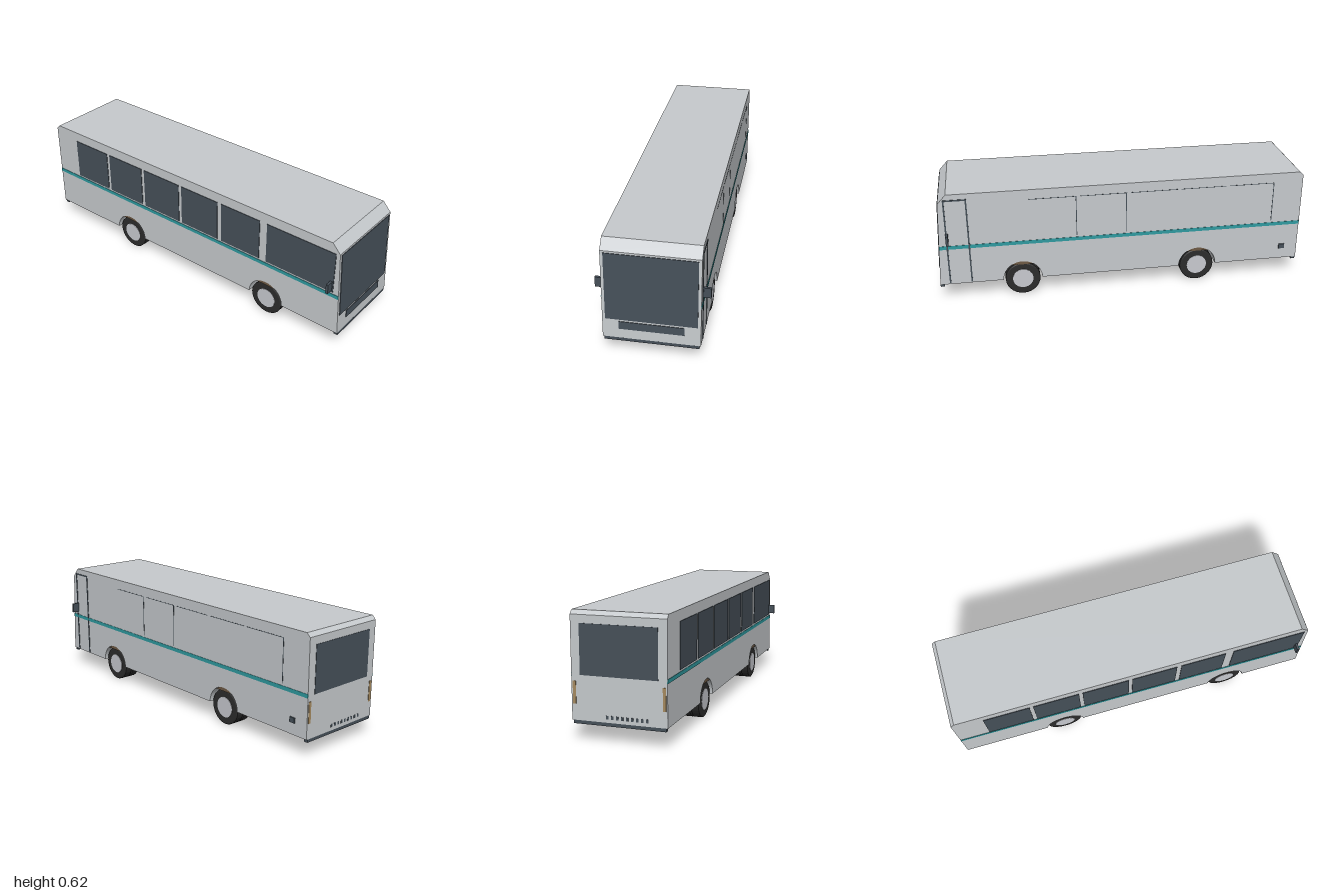
import * as THREE from 'three';

const mat = (name, color) => {
  const m = new THREE.MeshStandardMaterial({ color });
  m.name = name;
  return m;
};

export function createModel() {
  const paint = mat('body grey', 0xc6cacd);
  const glass = mat('dark glass', 0x465059);
  const teal = mat('teal stripe', 0x2f9aa0);
  const rubber = mat('tyre black', 0x2c2c2c);
  const steel = mat('hub grey', 0xc8cad0);
  const brown = mat('chassis brown', 0x6e5a45);
  const amber = mat('lamp tan', 0xa58a60);

  const bus = new THREE.Group();
  bus.name = 'bus';

  const add = (name, geometry, material, x = 0, y = 0, z = 0, parent = bus) => {
    const mesh = new THREE.Mesh(geometry, material);
    mesh.name = name;
    mesh.position.set(x, y, z);
    parent.add(mesh);
    return mesh;
  };
  // Box given by its minimum and maximum on each axis
  const box = (name, material, x0, x1, y0, y1, z0, z1) =>
    add(name, new THREE.BoxGeometry(x1 - x0, y1 - y0, z1 - z0), material,
      (x0 + x1) / 2, (y0 + y1) / 2, (z0 + z1) / 2);
  // Side profile pulled across the width
  const pull = (shape, half) =>
    new THREE.ExtrudeGeometry(shape, { depth: 2 * half, bevelEnabled: false, curveSegments: 24 })
      .translate(0, 0, -half);

  const W = 0.24, floor = 0.1, archR = 0.105;
  const axles = [-0.42, 0.555];

  // Body shell with wheel arches cut through it
  const side = new THREE.Shape();
  side.moveTo(-1, floor);
  for (const x of axles) {
    side.lineTo(x - archR, floor);
    side.absarc(x, floor, archR, Math.PI, 0, true);
  }
  side.lineTo(1, floor);
  side.lineTo(0.975, 0.575);
  side.lineTo(0.93, 0.625);
  side.lineTo(-0.98, 0.625);
  side.lineTo(-1, 0.605);
  side.closePath();
  add('body', pull(side, W), paint);

  // Side windows
  const panes = [[-0.835, -0.585], [-0.565, -0.315], [-0.295, -0.04], [-0.02, 0.23], [0.255, 0.505], [0.55, 0.955]];
  for (const [a, b] of panes) box('sideWindow', glass, a, b, 0.34, 0.57, W - 0.002, W + 0.003);

  // Thin panel seams on the door side
  for (const x of [0.255, -0.015, -0.835])
    box('panelSeam', glass, x - 0.002, x + 0.002, 0.34, 0.57, -W - 0.001, -W + 0.002);
  for (const [a, b] of panes.slice(0, 5))
    box('panelSeamTop', glass, a, b, 0.568, 0.571, -W - 0.001, -W + 0.002);

  // Door frame
  for (const x of [0.83, 0.945])
    box('doorPost', glass, x - 0.004, x + 0.004, 0.107, 0.595, -W - 0.003, -W + 0.002);
  box('doorTop', glass, 0.826, 0.949, 0.587, 0.595, -W - 0.003, -W + 0.002);

  // Stripes and mirrors on both sides
  for (const s of [1, -1]) {
    box('stripe', teal, -1, 0.988, 0.31, 0.33, s * W - 0.002, s * W + 0.002);
    box('mirror', glass, 0.935, 0.948, 0.35, 0.404, s * 0.26 - 0.02, s * 0.26 + 0.02);
  }

  // Windscreen and grille lie on the sloping nose
  const lean = Math.atan(0.025 / 0.475);
  const nosePlate = (name, y0, y1, half) => {
    const y = (y0 + y1) / 2;
    const p = add(name, new THREE.BoxGeometry(0.006, y1 - y0, half * 2), glass, 1 - (y - floor) * 0.0526, y, 0);
    p.rotation.z = lean;
  };
  nosePlate('windscreen', 0.205, 0.565, 0.225);
  nosePlate('grille', 0.153, 0.195, 0.16);

  // Rear window, lamps and vent slats
  box('rearWindow', glass, -1.002, -0.997, 0.32, 0.565, -0.195, 0.195);
  for (const s of [1, -1])
    box('rearLamp', amber, -1.002, -0.997, 0.18, 0.29, s * 0.225 - 0.008, s * 0.225 + 0.008);
  for (let i = 0; i < 9; i++) {
    const z = -0.06 + i * 0.025;
    box('rearVent', glass, -1.001, -0.997, 0.118, 0.135, z - 0.006, z + 0.006);
  }

  // Bumpers and filler cap
  box('frontBumper', glass, 0.978, 1, 0.084, 0.101, -0.233, 0.233);
  box('rearBumper', glass, -1, -0.978, 0.084, 0.101, -0.233, 0.233);
  box('fillerCap', glass, -0.925, -0.893, 0.163, 0.19, -0.247, -0.239);

  // Axles with twin wheels
  const R = 0.095;
  const tyre = new THREE.LatheGeometry([
    [0.05, -0.024], [0.088, -0.024], [R, -0.02], [R, 0.02], [0.088, 0.024], [0.05, 0.024],
  ].map(([r, y]) => new THREE.Vector2(r, y)), 28).toNonIndexed().rotateX(Math.PI / 2);
  tyre.computeVertexNormals();
  const hub = new THREE.CylinderGeometry(0.056, 0.056, 0.052, 28).rotateX(Math.PI / 2);
  const beam = new THREE.CylinderGeometry(0.012, 0.012, 0.3, 12).rotateX(Math.PI / 2);

  // Chassis segment that fills the crown of each arch
  const t = Math.asin((0.185 - floor) / archR);
  const crown = new THREE.Shape();
  crown.absarc(0, 0, archR - 0.001, t, Math.PI - t, false);
  crown.closePath();

  for (const x of axles) {
    const axle = new THREE.Group();
    axle.name = 'axle';
    axle.position.set(x, R, 0);
    bus.add(axle);
    add('axleBeam', beam, rubber, 0, 0, 0, axle);
    for (const s of [1, -1]) {
      for (const z of [0.155, 0.206]) {
        add('tyre', tyre, rubber, 0, 0, s * z, axle);
        add('hub', hub, steel, 0, 0, s * z, axle);
      }
      add('spring', new THREE.BoxGeometry(0.19, 0.015, 0.02), rubber, 0, 0.02, s * 0.08, axle);
    }
    add('archCrown', pull(crown, 0.236), brown, x, floor, 0);
  }
  return bus;
}
